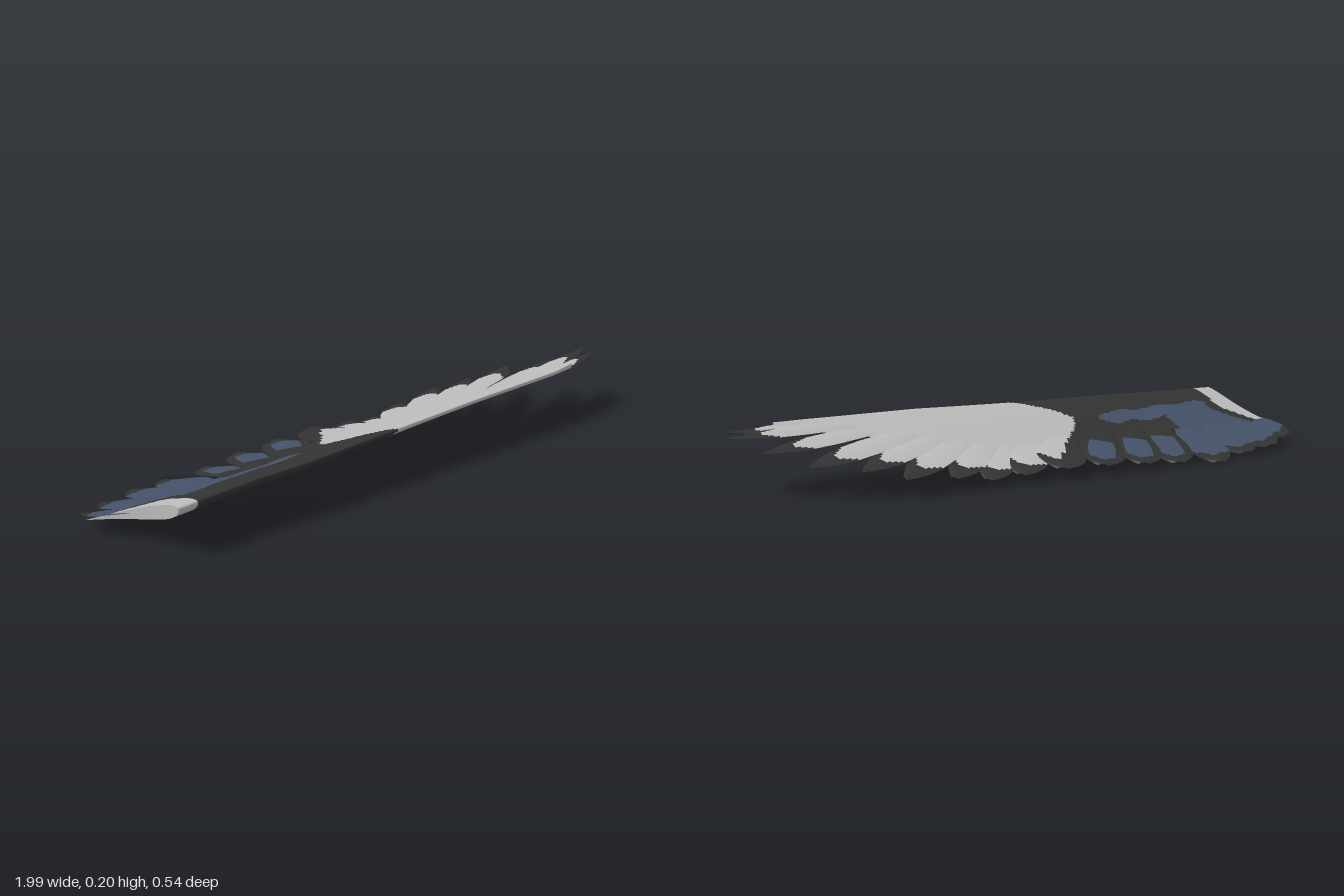
import * as THREE from 'three';

const flat = (name, color) => new THREE.MeshStandardMaterial({ name, color, side: THREE.DoubleSide });

// Piecewise-linear lookup through [x, value] points
function along(points, x) {
  for (let i = 1; i < points.length; i++) {
    const [x0, a] = points[i - 1], [x1, b] = points[i];
    if (x <= x1) return a + (b - a) * Math.max(0, (x - x0) / (x1 - x0));
  }
  return points[points.length - 1][1];
}

// Wing planform and its forward-raised slope
const LEAD_Z = [[-0.9, 0.225], [-0.6, 0.23], [-0.45, 0.245], [0, 0.25], [0.3, 0.26], [0.7, 0.266], [0.85, 0.25]];
const LEAD_Y = [[-0.9, 0.162], [-0.05, 0.185], [0.3, 0.198], [0.8, 0.203]];
const TRAIL_Z = [[-1, -0.1], [-0.85, -0.08], [-0.6, -0.03], [-0.4, 0], [-0.1, -0.04], [0.1, -0.03], [0.35, 0.05], [0.6, 0.15], [0.8, 0.24]];
const SLOPE = 0.32;
const midY = (x, z) => along(LEAD_Y, x) - SLOPE * (along(LEAD_Z, x) - z);

// Colour slots
const DARK = 0, PALE = 1, BLUE = 2;

const rootBand = z => -0.83 - 0.14 * Math.pow(Math.max(0, 0.07 - z) / 0.14, 1.3);
const paleEdge = z => along([[-0.15, 0], [-0.1, -0.05], [-0.02, -0.12], [0.05, -0.2], [0.1, -0.225], [0.15, -0.19], [0.25, -0.05]], z);

function bodyColour(x, z, top) {
  if (x < rootBand(z) || x > paleEdge(z)) return PALE;
  if (!top) return DARK;
  const wobble = 0.006 * Math.sin(x * 40);
  const patch = z < 0.115 + wobble && z > 0.05 + wobble && x > -0.79 && x < -0.32 - 4 * (z - 0.08) ** 2 * 10;
  const inner = z <= 0.06 && x > rootBand(z) + 0.045 && x < -0.58;
  return patch || inner ? BLUE : DARK;
}

// Curved grid whose cells are sorted into colour groups
function sheet(name, materials, point, nu, nv, pick) {
  const pos = [], buckets = materials.map(() => []);
  for (let i = 0; i <= nu; i++)
    for (let j = 0; j <= nv; j++) pos.push(...point(i / nu, j / nv));
  for (let i = 0; i < nu; i++) {
    for (let j = 0; j < nv; j++) {
      const a = i * (nv + 1) + j, b = a + nv + 1;
      const [x, , z] = point((i + 0.5) / nu, (j + 0.5) / nv);
      buckets[pick((i + 0.5) / nu, (j + 0.5) / nv, x, z)].push(a, a + 1, b, b, a + 1, b + 1);
    }
  }
  const geo = new THREE.BufferGeometry();
  geo.setAttribute('position', new THREE.Float32BufferAttribute(pos, 3));
  geo.setIndex(buckets.flat());
  let start = 0;
  buckets.forEach((b, m) => {
    if (b.length) geo.addGroup(start, b.length, m);
    start += b.length;
  });
  geo.computeVertexNormals();
  const mesh = new THREE.Mesh(geo, materials);
  mesh.name = name;
  return mesh;
}

// Point on the upper (side = 1) or lower (side = -1) skin of the arm
function skin(u, s, side) {
  const rootX = -0.9 - 0.09 * s ** 3;
  const x = rootX + (0.8 - rootX) * u;
  const z0 = along(LEAD_Z, x);
  const z = z0 + (along(TRAIL_Z, x) - z0) * s;
  const bulge = 4 * (Math.sqrt(s) - s) * (1 - 0.6 * u);
  return [x, midY(x, z) + bulge * (side > 0 ? 0.016 : -0.028), z];
}

// Feather: root x, z; tip x, y, z; half width
const SECONDARIES = [
  [-0.87, 0.06, -0.95, 0.045, -0.165, 0.06],
  [-0.8, 0.06, -0.83, 0.03, -0.218, 0.085],
  [-0.72, 0.06, -0.695, 0.025, -0.245, 0.085],
  [-0.64, 0.06, -0.56, 0.012, -0.268, 0.075],
  [-0.52, 0.06, -0.41, 0.022, -0.24, 0.075],
  [-0.42, 0.05, -0.27, 0.035, -0.235, 0.075],
  [-0.3, 0.05, -0.12, 0.045, -0.218, 0.075],
];
const PRIMARIES = [
  [-0.15, 0.08, 0.03, 0.05, -0.21, 0.08],
  [-0.08, 0.1, 0.17, 0.042, -0.182, 0.07],
  [0, 0.1, 0.28, 0.035, -0.165, 0.06],
  [0.05, 0.12, 0.4, 0.055, -0.16, 0.058],
  [0.1, 0.14, 0.57, 0.072, -0.155, 0.055],
  [0.17, 0.15, 0.68, 0.098, -0.09, 0.05],
  [0.25, 0.17, 0.83, 0.12, -0.045, 0.05],
  [0.32, 0.2, 0.925, 0.152, 0.08, 0.042],
  [0.4, 0.22, 1.0, 0.193, 0.157, 0.036],
  [0.5, 0.235, 0.97, 0.198, 0.217, 0.03],
];

function feather(name, materials, [rx, rz, tx, ty, tz, w], pick) {
  const dx = tx - rx, dz = tz - rz, len = Math.hypot(dx, dz), ry = midY(rx, rz) - 0.004;
  const point = (u, t) => {
    const v = t * 2 - 1;
    const end = Math.max(0, (u - 0.68) / 0.32);
    const half = w * Math.min(1, 0.5 + 0.9 * u) * (1 - 0.78 * end ** 2.2) * v;
    const k = u * (1 - 0.025 * (1 + v));          // slanted tip
    const az = half * dx / len;
    return [
      rx + dx * k - half * dz / len,
      ry + (ty - ry) * k + az * SLOPE + (1 - v * v) * 0.004 - v * 0.006 * u,
      rz + dz * k + az,
    ];
  };
  return sheet(name, materials, point, 32, 10, pick);
}

export function createModel() {
  const wing = new THREE.Group();
  wing.name = 'wing';
  const materials = [flat('charcoal', 0x333333), flat('paleGrey', 0xbcbcbc), flat('slateBlue', 0x445268)];

  // Arm with upper and lower skins, closed at the root
  const arm = new THREE.Group();
  arm.name = 'arm';
  arm.add(
    sheet('upperSkin', materials, (u, s) => skin(u, s * s, 1), 150, 50, (u, s, x, z) => bodyColour(x, z, true)),
    sheet('lowerSkin', materials, (u, s) => skin(u, s * s, -1), 150, 50, (u, s, x, z) => bodyColour(x, z, false)),
    sheet('rootCap', materials, (u, s) => {
      const a = skin(0, s * s, 1), b = skin(0, s * s, -1);
      return a.map((c, i) => c + (b[i] - c) * u);
    }, 1, 24, () => PALE),
  );
  wing.add(arm);

  // Inner flight feathers: blue vanes with dark rims
  const inner = new THREE.Group();
  inner.name = 'innerFeathers';
  SECONDARIES.forEach((f, i) => inner.add(feather('innerFeather' + (i + 1), materials, f, (u, t) => {
    const v = Math.abs(t * 2 - 1);
    const from = i < 4 ? 0.1 : 0.42;
    const rim = i < 4 ? 0.95 : 0.7;
    return u > from && u < 0.87 - 0.1 * v && v < rim ? BLUE : DARK;
  })));
  wing.add(inner);

  // Outer flight feathers: pale vanes with dark, rounded-off tips
  const outer = new THREE.Group();
  outer.name = 'outerFeathers';
  PRIMARIES.forEach((f, i) => outer.add(feather('outerFeather' + (i + 1), materials, f, (u, t, x, z) => {
    const v = t * 2 - 1;
    return u < 0.81 - 0.13 * v * v && x > paleEdge(z) ? PALE : DARK;
  })));
  wing.add(outer);

  return wing;
}
